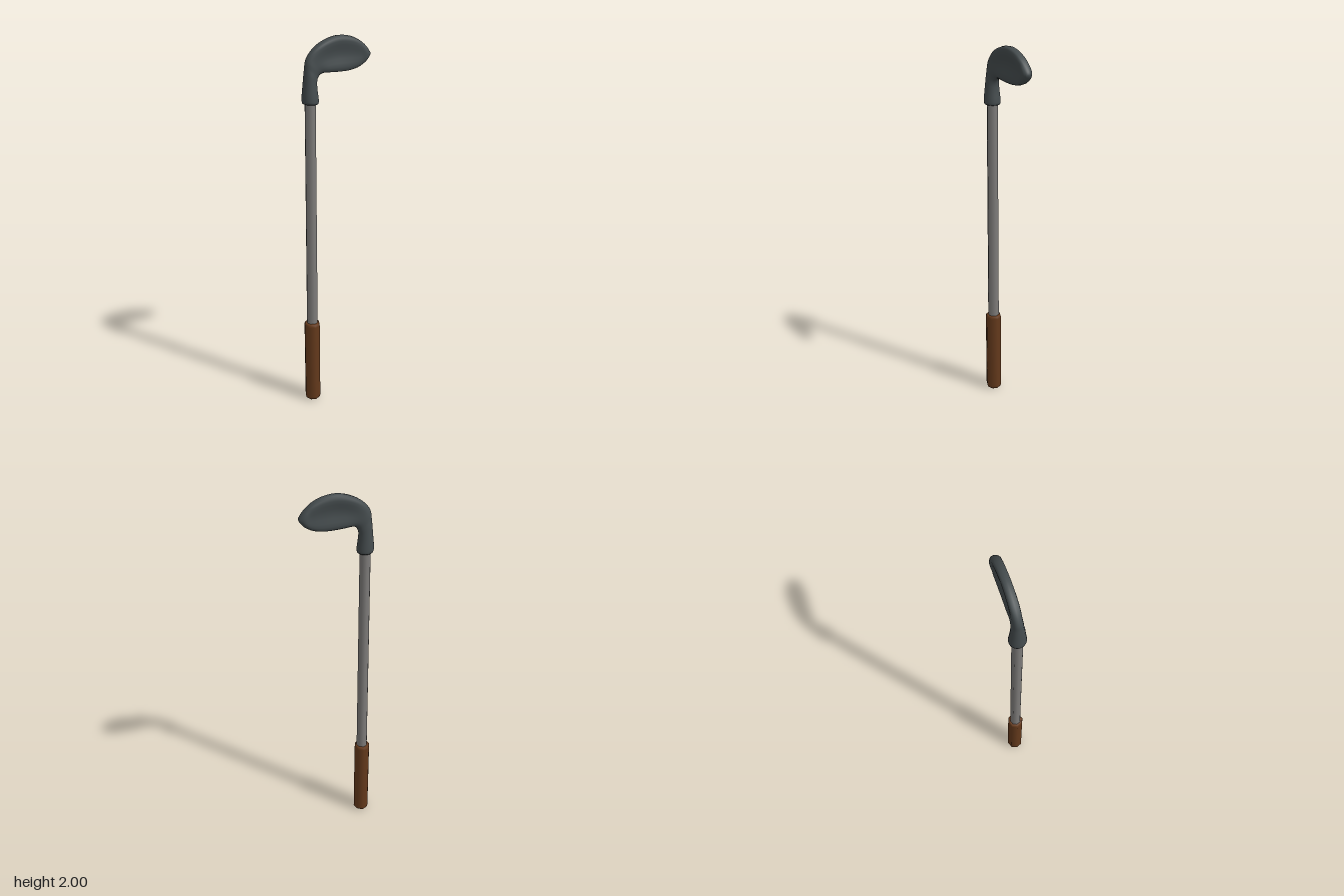
import * as THREE from 'three';

const material = (name, color) => {
  const m = new THREE.MeshStandardMaterial({ color });
  m.name = name;
  return m;
};

// Head: cross-sections swept from the socket round the heel to the toe.
// Each station: outer edge x, y, inner edge x, y, half thickness, face hollow.
const STATIONS = [
  [-0.178, 1.69, -0.100, 1.687, 0.040, 0],
  [-0.181, 1.705, -0.098, 1.70, 0.042, 0],
  [-0.175, 1.78, -0.104, 1.755, 0.036, 0],
  [-0.168, 1.85, -0.104, 1.795, 0.031, 0],
  [-0.160, 1.90, -0.090, 1.822, 0.028, 0.05],
  [-0.125, 1.945, -0.065, 1.830, 0.028, 0.25],
  [-0.065, 1.982, -0.035, 1.828, 0.028, 0.5],
  [0.005, 2.0, 0.015, 1.825, 0.027, 0.6],
  [0.075, 1.991, 0.075, 1.827, 0.027, 0.5],
  [0.130, 1.964, 0.125, 1.840, 0.028, 0.3],
  [0.167, 1.930, 0.162, 1.862, 0.027, 0.05],
  [0.183, 1.907, 0.181, 1.885, 0.015, 0],
];

function headGeometry() {
  const curve = (f) => new THREE.CatmullRomCurve3(STATIONS.map(f));
  const outer = curve((s) => new THREE.Vector3(s[0], s[1], 0));
  const inner = curve((s) => new THREE.Vector3(s[2], s[3], 0));
  const shape = curve((s) => new THREE.Vector3(s[4], s[5], 0));
  const rings = 44, sides = 24, pos = [], index = [];
  for (let i = 0; i <= rings; i++) {
    const t = i / rings;
    const a = outer.getPoint(t), b = inner.getPoint(t), s = shape.getPoint(t);
    const hollow = Math.max(0, s.y);
    const blade = Math.min(1, hollow * 3);
    for (let j = 0; j < sides; j++) {
      const angle = (j / sides) * Math.PI * 2;
      const u = Math.cos(angle), v = Math.abs(Math.sin(angle));
      // Round section near the ends, thick rim and sunken faces along the blade
      const profile = Math.pow(v, 1 - 0.45 * blade) * (1 - hollow * v ** 5) * (1 + 0.22 * hollow);
      pos.push(
        (a.x + b.x) / 2 + ((a.x - b.x) / 2) * u,
        (a.y + b.y) / 2 + ((a.y - b.y) / 2) * u,
        Math.sign(Math.sin(angle)) * s.x * profile
      );
    }
  }
  for (let i = 0; i < rings; i++) {
    for (let j = 0; j < sides; j++) {
      const k = (j + 1) % sides;
      const p = i * sides + j, q = i * sides + k;
      index.push(p, q, q + sides, p, q + sides, p + sides);
    }
  }
  // Close the socket mouth and the toe
  const base = pos.length / 3, last = rings * sides;
  pos.push(-0.139, 1.688, 0, 0.186, 1.896, 0);
  for (let j = 0; j < sides; j++) {
    const k = (j + 1) % sides;
    index.push(base, k, j, base + 1, last + j, last + k);
  }
  const g = new THREE.BufferGeometry();
  g.setAttribute('position', new THREE.Float32BufferAttribute(pos, 3));
  g.setIndex(index);
  g.computeVertexNormals();
  return g;
}

export function createModel() {
  const group = new THREE.Group();
  const add = (name, geometry, mat) => {
    const mesh = new THREE.Mesh(geometry, mat);
    mesh.name = name;
    group.add(mesh);
    return mesh;
  };

  // Grip: eight-sided handle with softened ends
  const gripProfile = [
    [0, 0], [0.032, 0.002], [0.039, 0.008], [0.043, 0.022],
    [0.043, 0.465], [0.040, 0.478], [0.034, 0.483], [0, 0.484],
  ].map(([r, y]) => new THREE.Vector2(r, y));
  const grip = add('grip', new THREE.LatheGeometry(gripProfile, 8), material('brown leather', 0x653a1c));
  grip.position.x = -0.145;

  // Shaft: slim rod leaning very slightly towards the head
  const shaft = add('shaft', new THREE.CylinderGeometry(0.028, 0.030, 1.26, 8, 1), material('grey steel', 0x7f7d7b));
  shaft.position.set(-0.1415, 1.1, 0);
  shaft.rotation.z = -0.003;

  // Club head with its socket
  add('clubHead', headGeometry(), material('dark iron', 0x454c4e));
  return group;
}
